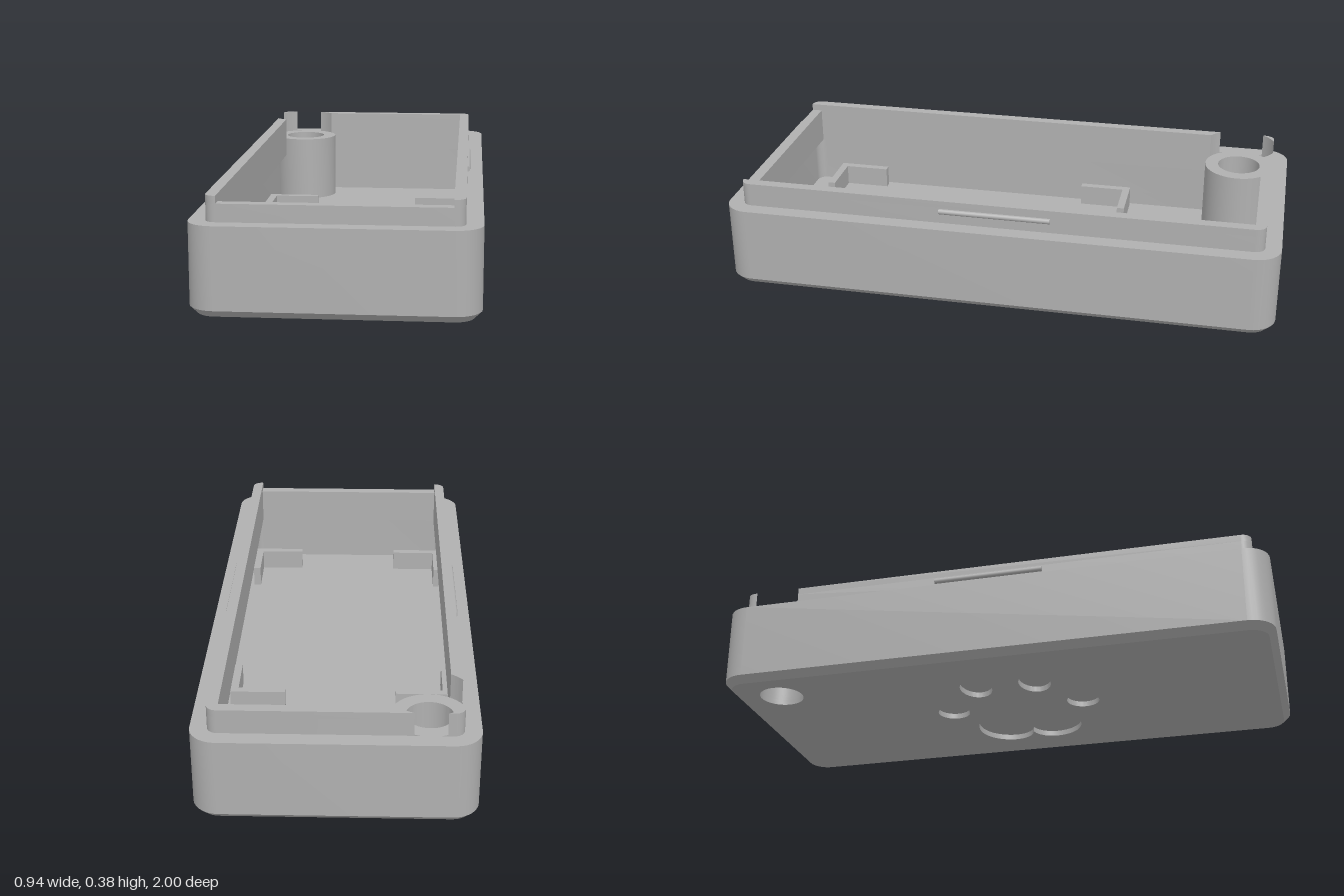
import * as THREE from 'three';
import { toCreasedNormals } from 'three/addons/utils/BufferGeometryUtils.js';

const P = (x, z) => new THREE.Vector2(x, z);
const HX = 0.47, HZ = 1, LX = 0.413, LZ = 0.943, IX = 0.375, IZ = 0.905;
const CX = -0.304, CZ = -0.817, CUT = 0.137; // key-ring post centre, clearance radius in the lip

// Points along an arc, in plan (x, z)
function arc(cx, cz, r, a, b, n = 8) {
  return Array.from({ length: n + 1 }, (_, i) => {
    const t = a + (b - a) * i / n;
    return P(cx + r * Math.cos(t), cz + r * Math.sin(t));
  });
}

// Rounded rectangle outline
function roundRect(hx, hz, r) {
  const q = Math.PI / 2;
  return [[1, 1], [-1, 1], [-1, -1], [1, -1]].flatMap(([sx, sz], i) =>
    arc(sx * (hx - r), sz * (hz - r), r, i * q, (i + 1) * q));
}

// Plan shape raised from y0 to y1
function slab(shape, y0, y1) {
  const g = new THREE.ExtrudeGeometry(shape, { depth: y1 - y0, bevelEnabled: false, curveSegments: 24 });
  g.rotateX(Math.PI / 2).translate(0, y1, 0);
  return toCreasedNormals(g, 0.6);
}

// Side skin between two matching outlines
function skin(a, ya, b, yb) {
  const pos = [], n = a.length;
  for (let i = 0; i < n; i++) {
    const j = (i + 1) % n;
    const a0 = [a[i].x, ya, a[i].y], a1 = [a[j].x, ya, a[j].y];
    const b0 = [b[i].x, yb, b[i].y], b1 = [b[j].x, yb, b[j].y];
    pos.push(...a0, ...b0, ...b1, ...a0, ...b1, ...a1);
  }
  const g = new THREE.BufferGeometry();
  g.setAttribute('position', new THREE.Float32BufferAttribute(pos, 3));
  return toCreasedNormals(g, 0.6);
}

const circle = (x, z, r) => new THREE.Path().absarc(x, z, r, 0, Math.PI * 2);

export function createModel() {
  const model = new THREE.Group();
  const grey = new THREE.MeshStandardMaterial({ color: 0xb0b0b0, side: THREE.DoubleSide });
  grey.name = 'caseGrey';
  const add = (name, geo) => {
    const m = new THREE.Mesh(geo, grey);
    m.name = name;
    model.add(m);
    return m;
  };

  // Outer walls and bottom chamfer
  const outline = roundRect(HX, HZ, 0.09), inset = roundRect(HX - 0.025, HZ - 0.025, 0.065);
  const walls = new THREE.Shape(outline);
  walls.holes.push(new THREE.Path(roundRect(LX, LZ, 0.035)));
  add('outerWalls', slab(walls, 0.025, 0.3));
  add('bottomChamfer', skin(inset, 0, outline, 0.025));

  // Floor: solid upper layer, lower layer pierced by the paw recess
  const floor = new THREE.Shape(inset);
  floor.holes.push(circle(CX, CZ, 0.08));
  add('floor', slab(floor, 0.02, 0.04));

  const base = new THREE.Shape(inset), mid = 0.01;
  const pad = new THREE.Path();
  pad.moveTo(0, mid);
  pad.bezierCurveTo(0.02, mid + 0.1, 0.09, mid + 0.2, 0.2, mid + 0.2);
  pad.bezierCurveTo(0.33, mid + 0.2, 0.37, mid + 0.03, 0.26, mid);
  pad.bezierCurveTo(0.37, mid - 0.03, 0.33, mid - 0.2, 0.2, mid - 0.2);
  pad.bezierCurveTo(0.09, mid - 0.2, 0.02, mid - 0.1, 0, mid);
  base.holes.push(circle(CX, CZ, 0.08), pad);
  for (const s of [1, -1]) {
    base.holes.push(circle(0, mid + s * 0.25, 0.06));
    base.holes.push(new THREE.Path().absellipse(-0.197, mid + s * 0.11, 0.08, 0.058, 0, Math.PI * 2));
  }
  add('pawRecessLayer', slab(base, 0, 0.02));

  // Hollow key-ring post
  const post = new THREE.Shape().absarc(CX, CZ, 0.13, 0, Math.PI * 2);
  post.holes.push(circle(CX, CZ, 0.08));
  add('keyRingPost', slab(post, 0.03, 0.3));

  // Lip, cut away round the post
  const reach = d => Math.sqrt(CUT * CUT - d * d);
  const cut = (a, b) => arc(CX, CZ, CUT, a, b);
  const dzO = -LZ - CZ, dzI = -IZ - CZ, dxO = -LX - CX, dxI = -IX - CX;
  const backOut = Math.atan2(dzO, reach(dzO)), backIn = Math.atan2(dzI, reach(dzI));
  const sideOut = Math.atan2(reach(dxO), dxO), sideIn = Math.atan2(reach(dxI), dxI);
  const r = 0.035, q = Math.PI / 2;
  const corner = (sx, sz, a) => arc(sx * (LX - r), sz * (LZ - r), r, a, a + q);
  const backRight = corner(1, -1, -q), frontRight = corner(1, 1, 0), frontLeft = corner(-1, 1, q);
  const rightEnd = cut(backIn, backOut), leftEnd = cut(sideOut, sideIn);

  add('lip', slab(new THREE.Shape([...rightEnd, ...backRight, ...frontRight, ...frontLeft,
    ...leftEnd, P(-IX, IZ), P(IX, IZ), P(IX, -IZ)]), 0.23, 0.36));
  // The upper lip leaves the front open
  add('upperLipLeft', slab(new THREE.Shape([...rightEnd, ...backRight, ...frontRight,
    P(IX, LZ), P(IX, -IZ)]), 0.36, 0.385));
  add('upperLipRight', slab(new THREE.Shape([P(-IX, LZ), ...frontLeft, ...leftEnd]), 0.36, 0.385));
  // Corner remnant behind the post
  const pinSide = Math.atan2(-reach(dxO), dxO), pinBack = Math.atan2(dzO, -reach(dzO));
  add('cornerPin', slab(new THREE.Shape([...corner(-1, -1, Math.PI), ...cut(pinBack, pinSide)]), 0.23, 0.385));

  for (const s of [1, -1]) {
    // Snap ridge along each side
    const ridge = add('snapRidge', new THREE.CylinderGeometry(0.01, 0.01, 0.4, 16).rotateX(q));
    ridge.position.set(s * LX, 0.345, 0);

    // L-shaped board brackets
    for (const [z, dir] of [[-0.387, 1], [0.832, -1]]) {
      const pts = [[0.398, 0], [0.2, 0], [0.2, 0.028], [0.37, 0.028], [0.37, 0.197], [0.398, 0.197]];
      add('boardBracket', slab(new THREE.Shape(pts.map(([x, d]) => P(s * x, z + dir * d))), 0.035, 0.118));
    }
  }
  return model;
}
